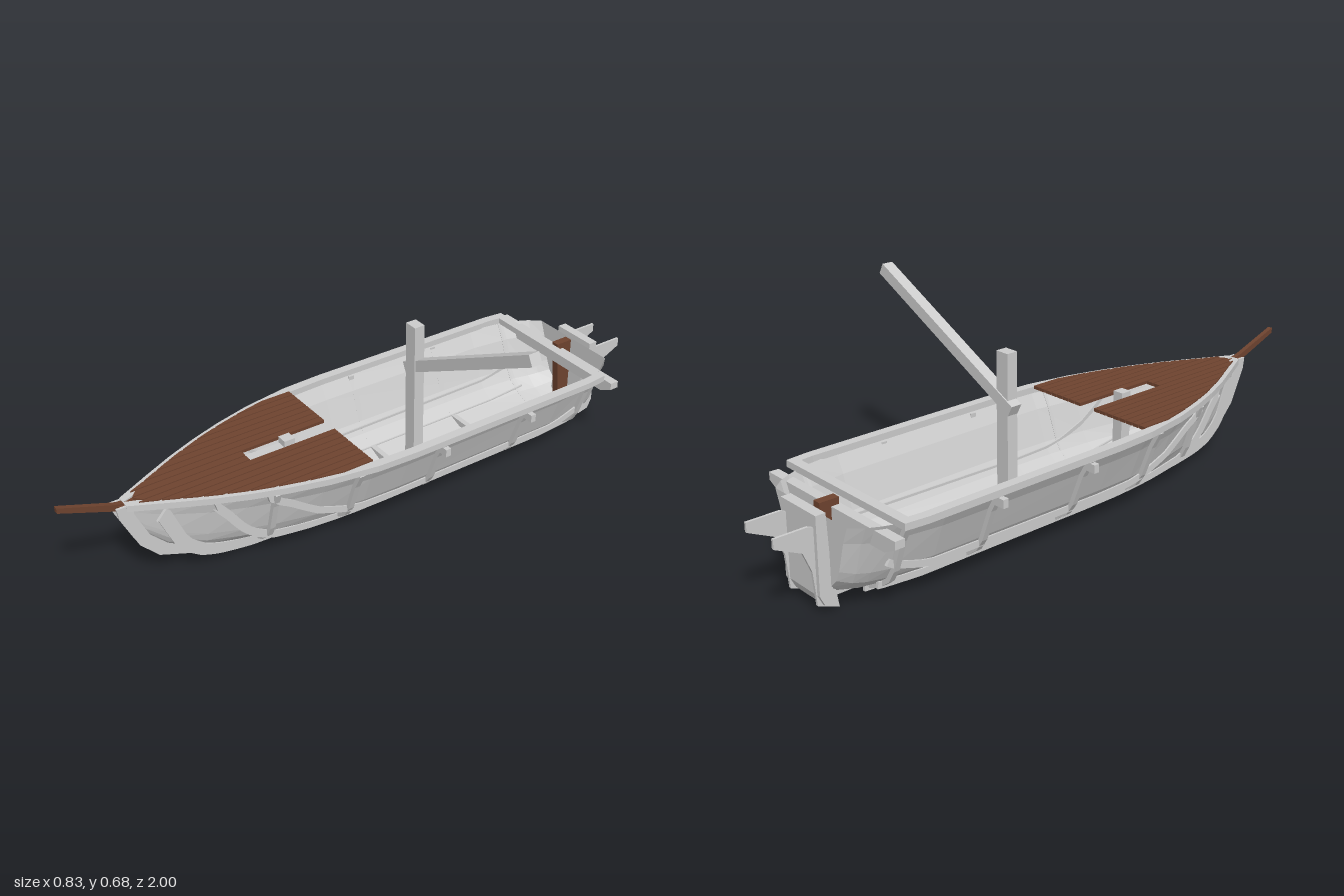
import * as THREE from 'three';

const CX = -0.138, SHEER = 0.27;
const grey = new THREE.MeshStandardMaterial({ color: 0xcccccc, flatShading: true, side: THREE.DoubleSide });
const brown = new THREE.MeshStandardMaterial({ color: 0x6e432f, flatShading: true, side: THREE.DoubleSide });

// Hull lines: [z, half beam], [z, rail half width], [z, keel height] and unit section [width, height]
const BEAM = [[-0.85, 0.16], [-0.815, 0.19], [-0.78, 0.208], [-0.73, 0.228], [-0.6, 0.247], [0, 0.254], [0.13, 0.25],
  [0.28, 0.225], [0.4, 0.192], [0.5, 0.157], [0.6, 0.115], [0.7, 0.066], [0.76, 0.036], [0.81, 0.012]];
const RAIL = [[-0.75, 0.262], [-0.68, 0.269], [0, 0.27], [0.13, 0.264], [0.28, 0.239], [0.4, 0.206], [0.5, 0.171], [0.6, 0.129],
  [0.7, 0.08], [0.76, 0.049], [0.81, 0.024]];
const KEEL = [[-0.85, 0.05], [-0.8, 0.03], [-0.6, 0.025], [0.2, 0.025], [0.45, 0.035], [0.6, 0.055], [0.7, 0.1], [0.76, 0.16], [0.81, 0.24]];
const SECTION = [[0, 0], [0.24, 0.025], [0.46, 0.11], [0.64, 0.24], [0.73, 0.38], [0.88, 0.78], [1, 1]];

function lerpTable(t, x) {
  if (x <= t[0][0]) return t[0][1];
  for (let i = 1; i < t.length; i++) {
    if (x <= t[i][0]) {
      const [a, b] = [t[i - 1], t[i]];
      return a[1] + (b[1] - a[1]) * (x - a[0]) / (b[0] - a[0]);
    }
  }
  return t[t.length - 1][1];
}
const beam = z => lerpTable(BEAM, z);
const keelY = z => lerpTable(KEEL, z);

// Cross-section from the right sheer under the keel to the left sheer
function section(z) {
  const half = SECTION.map(([u, v]) => [u * beam(z), keelY(z) + v * (SHEER - keelY(z))]);
  return [...half.slice(1).reverse().map(([x, y]) => [-x, y]), ...half];
}

// Skin a list of equal rings; closed rings get end caps
function loft(rings, closed) {
  const n = rings[0].length, pos = rings.flat(2), idx = [];
  for (let i = 0; i < rings.length - 1; i++) {
    for (let j = 0; j < (closed ? n : n - 1); j++) {
      const a = i * n + j, b = i * n + (j + 1) % n;
      idx.push(a, a + n, b, b, a + n, b + n);
    }
  }
  if (closed) {
    const e = (rings.length - 1) * n;
    for (let j = 1; j < n - 1; j++) idx.push(0, j, j + 1, e, e + j + 1, e + j);
  }
  const g = new THREE.BufferGeometry();
  g.setAttribute('position', new THREE.Float32BufferAttribute(pos, 3));
  g.setIndex(idx);
  g.computeVertexNormals();
  return g;
}

const outlineShape = points => new THREE.Shape(points.map(p => new THREE.Vector2(p[0], p[1])));
const extrude = (points, depth) => new THREE.ExtrudeGeometry(outlineShape(points), { depth, bevelEnabled: false });

// Flat plate outlined in [z, y], centred on x
const plate = (points, thick, x) => extrude(points, thick).rotateY(-Math.PI / 2).translate(x + thick / 2, 0, 0);

// Offset a 2D line along its normal by a depth that grows from d0 to d1
function offsetLine(line, d0, d1 = d0) {
  return line.map((p, i) => {
    const a = line[Math.max(i - 1, 0)], b = line[Math.min(i + 1, line.length - 1)];
    const dx = b[0] - a[0], dy = b[1] - a[1], l = Math.hypot(dx, dy);
    const d = d0 + (d1 - d0) * Math.max(0, 3 * i / (line.length - 1) - 2);
    return [p[0] + dy / l * d, p[1] - dx / l * d];
  });
}

// Where the hull narrows to a given half width at the bow
function bowZ(half) {
  let z = 0.13;
  while (z < 0.78 && beam(z + 0.004) > half) z += 0.004;
  return z;
}

export function createModel() {
  const model = new THREE.Group(), boat = new THREE.Group();
  boat.name = 'boat';
  boat.position.x = CX;
  model.add(boat);
  const add = (name, geo, mat = grey) => {
    const m = new THREE.Mesh(geo, mat);
    m.name = name;
    boat.add(m);
    return m;
  };
  const box = (name, w, h, d, x, y, z) => add(name, new THREE.BoxGeometry(w, h, d).translate(x, y, z));

  // Hull shell and transom
  const stations = BEAM.map(b => b[0]);
  add('hull', loft(stations.map(z => section(z).map(([x, y]) => [x, y, z])), false));
  add('transom', new THREE.ShapeGeometry(outlineShape(section(-0.85))).translate(0, 0, -0.85));

  // Gunwale rails along both sides, closed at the stern by a beam
  for (const s of [-1, 1]) {
    const rings = RAIL.map(([z, w]) => {
      const o = s * w, i = s * Math.max(w - 0.03, 0);
      return [[o, 0.267, z], [o, 0.287, z], [i, 0.287, z], [i, 0.267, z]];
    });
    add('gunwale', loft(rings, true));
  }
  box('sternRail', 0.5, 0.02, 0.03, 0, 0.277, -0.735);
  add('sternCrossbeam', extrude([[-0.28, 0.26], [-0.28, 0.237], [-0.235, 0.215], [0.235, 0.215], [0.28, 0.237], [0.28, 0.26]], 0.03)
    .translate(0, 0, -0.795));

  // Ribs wrapped around the outside of the hull
  for (const z of [-0.72, -0.44, -0.11, 0.18, 0.425]) {
    const inner = section(z), outer = offsetLine(inner, 0.014), w = 0.009;
    add('rib', loft(inner.map((p, i) => [
      [...p, z - w], [...p, z + w], [...outer[i], z + w], [...outer[i], z - w]]), true));
  }
  for (const z of [-0.44, -0.11]) {
    for (const s of [-1, 1]) {
      box('ribHead', 0.04, 0.025, 0.018, s * 0.26, 0.248, z);
      box('floorFrame', 0.09, 0.02, 0.018, s * 0.075, 0.046, z);
    }
  }

  // Lengthwise stringers, each in an upright plane under the hull and deeper towards the bow
  for (const [off, bowDepth] of [[0.062, 0.045], [0.122, 0.028], [0.176, 0.022]]) {
    const line = [];
    for (let z = -0.74; z < 0.8 && beam(z) > off; z += 0.02) {
      const k = keelY(z);
      line.push([z, k + lerpTable(SECTION, off / beam(z)) * (SHEER - k)]);
    }
    line.push([line[line.length - 1][0] + 0.012, 0.262]);
    const outline = [...line, ...offsetLine(line, 0.02, bowDepth).reverse()];
    for (const s of [-1, 1]) add('stringer', plate(outline, 0.01, s * off));
  }

  // Keel with curved stem: two cheeks either side of a brown core, and twin runners
  const stem = [[0.84, 0.285], [0.835, 0.25], [0.785, 0.14], [0.73, 0.08], [0.6, 0.03], [0.2, 0.01],
    [0.2, 0.03], [0.6, 0.06], [0.7, 0.11], [0.75, 0.16], [0.79, 0.25], [0.79, 0.285]];
  for (const s of [-1, 1]) {
    add('stemCheek', plate(stem, 0.008, s * 0.019));
    box('keelRunner', 0.022, 0.025, 0.72, s * 0.03, 0.019, -0.16);
  }
  add('stemCore', plate([[0.83, 0.285], [0.825, 0.25], [0.775, 0.14], [0.72, 0.08], [0.6, 0.035], [0.45, 0.025],
    [0.45, 0.04], [0.6, 0.08], [0.69, 0.14], [0.74, 0.22], [0.75, 0.28]], 0.03, 0), brown);
  box('keel', 0.036, 0.02, 1.29, 0, 0.02, -0.195);

  // Stern post and the pair of rudder brackets
  add('sternPost', plate([[-0.83, 0.02], [-0.87, 0.03], [-0.885, 0.06], [-0.885, 0.285], [-0.855, 0.285], [-0.845, 0.06]], 0.156, 0));
  for (const s of [-1, 1]) {
    add('rudderBracket', plate([[-0.82, 0.005], [-0.885, 0.03], [-0.895, 0.13], [-0.92, 0.19], [-1, 0.228], [-1, 0.256],
      [-0.9, 0.256], [-0.86, 0.24]], 0.008, s * 0.062));
  }
  add('sternKnee', plate([[-0.83, 0.28], [-0.77, 0.28], [-0.79, 0.05], [-0.83, 0.05]], 0.026, 0), brown);

  // Foredeck planks with ends cut to the curve of the hull
  for (let i = 0; i < 8; i++) {
    const a = 0.029 + 0.026 * i, b = a + 0.022;
    for (const s of [-1, 1]) {
      const cut = [[s * a, 0.13], [s * b, 0.13], [s * b, bowZ(b)], [s * a, bowZ(a)]];
      add('deckPlank', extrude(cut, 0.01).rotateX(Math.PI / 2).translate(0, 0.291, 0), brown);
    }
  }
  for (const s of [-1, 1]) {
    const cut = [[s * 0.002, 0.42], [s * 0.025, 0.42], [s * 0.025, 0.76], [s * 0.002, 0.78]];
    add('deckPlank', extrude(cut, 0.01).rotateX(Math.PI / 2).translate(0, 0.291, 0), brown);
  }
  box('deckPost', 0.036, 0.27, 0.036, 0, 0.166, 0.28);
  box('deckCarling', 0.03, 0.025, 0.2, 0, 0.268, 0.37);

  // Bowsprit
  add('bowsprit', plate([[1, 0.35], [1, 0.333], [0.84, 0.272], [0.72, 0.24], [0.72, 0.262], [0.84, 0.294]], 0.015, 0), brown);

  // Square mast and slanting yard
  box('mast', 0.046, 0.51, 0.036, 0, 0.28, -0.188);
  const yard = add('yard', new THREE.BoxGeometry(0.65, 0.036, 0.036));
  yard.position.set(0.253, 0.518, -0.192);
  yard.rotation.z = Math.atan2(0.292, 0.573);
  return model;
}
